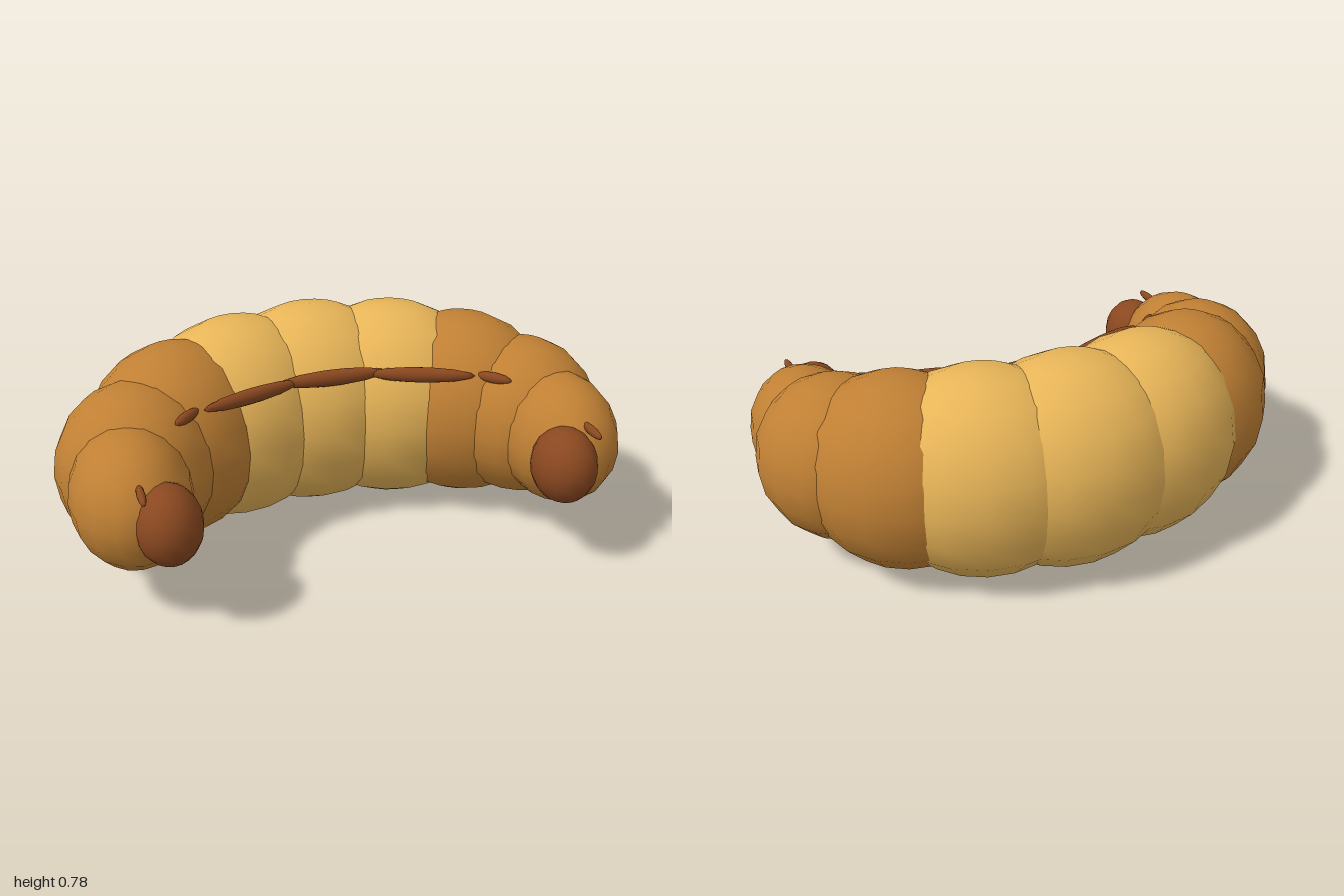
import * as THREE from 'three';

const material = (color) => new THREE.MeshStandardMaterial({ color });

export function createModel() {
  const model = new THREE.Group();
  model.name = 'croissant';
  const light = material(0xe8b558);
  const golden = material(0xc08034);
  const dark = material(0x8a4820);

  const bodyGeometry = new THREE.SphereGeometry(1, 16, 10);
  const stripGeometry = new THREE.SphereGeometry(1, 12, 8);

  // Ellipsoid at pos, with radii along / up / across, turned along the curve by angle degrees
  function ellipsoid(name, geometry, mat, pos, radii, angle) {
    const mesh = new THREE.Mesh(geometry, mat);
    mesh.name = name;
    mesh.position.set(...pos);
    mesh.scale.set(...radii);
    mesh.rotation.y = -THREE.MathUtils.degToRad(angle);
    model.add(mesh);
  }

  // The same part on both arms
  function pair(name, geometry, mat, [x, y, z], radii, angle) {
    ellipsoid(name + 'Left', geometry, mat, [x, y, z], radii, angle);
    ellipsoid(name + 'Right', geometry, mat, [-x, y, z], radii, -angle);
  }

  // Dough segments, from the middle out to the tips
  const y = 0.395;
  ellipsoid('middleSegment', bodyGeometry, light, [0, y, -0.285], [0.42, 0.392, 0.345], 0);
  pair('innerSegment', bodyGeometry, light, [0.3, y, -0.235], [0.41, 0.384, 0.335], 20);
  pair('bakedSegment', bodyGeometry, golden, [0.55, y, -0.115], [0.36, 0.355, 0.315], 42);
  pair('outerSegment', bodyGeometry, golden, [0.72, y, 0.06], [0.3, 0.298, 0.28], 66);
  pair('endSegment', bodyGeometry, golden, [0.77, y, 0.27], [0.27, 0.236, 0.206], 90);
  pair('tip', bodyGeometry, dark, [0.685, 0.4, 0.495], [0.13, 0.136, 0.112], 90);

  // Thin toasted ridges along the inner curve
  ellipsoid('middleRidge', stripGeometry, dark, [0, 0.612, 0.015], [0.2, 0.03, 0.025], 0);
  pair('innerRidge', stripGeometry, dark, [0.31, 0.61, 0.078], [0.195, 0.028, 0.024], 20);
  pair('bakedRidge', stripGeometry, dark, [0.555, 0.605, 0.17], [0.068, 0.02, 0.018], 45);
  pair('endRidge', stripGeometry, dark, [0.765, 0.53, 0.52], [0.065, 0.017, 0.014], 90);

  return model;
}
